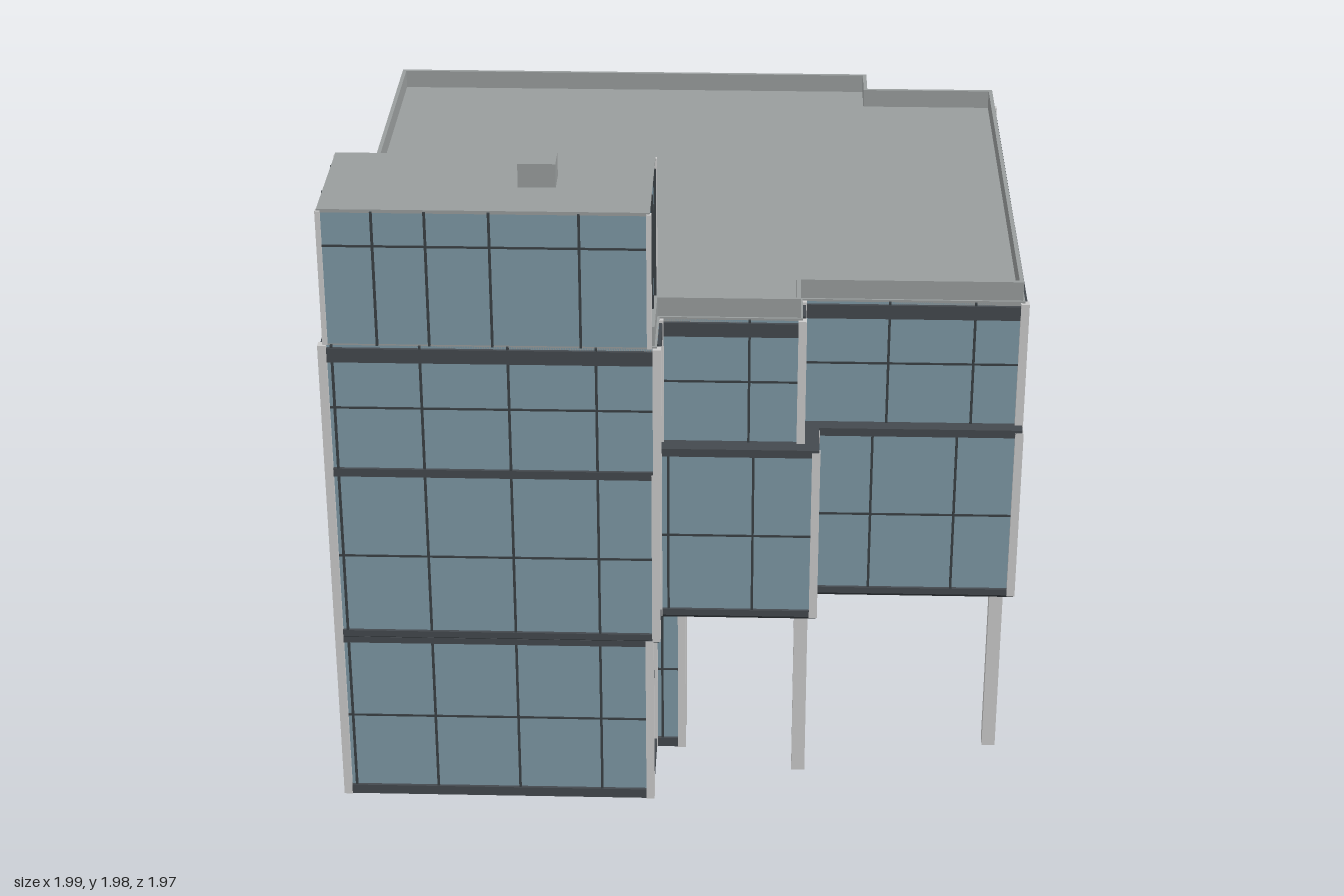
import * as THREE from 'three';

const mat = (color) => new THREE.MeshStandardMaterial({ color });

// Floor outlines as [x, z], starting at the front corner and running along the front
const MID = [[-.985, .97], [-.06, .97], [-.06, .825], [.395, .825], [.395, .685], [.985, .685],
  [.985, -.845], [.575, -.845], [.575, -.975], [-.985, -.975]];
const TOP = [[-.985, .97], [-.055, .97], [-.055, .78], [.35, .78], [.35, .65], [.985, .65],
  [.985, -.845], [.575, -.845], [.575, -.975], [-.985, -.975]];
const GROUND = [[-.985, .97], [-.08, .97], [-.08, .695], [.005, .695], [.005, .575],
  [-.56, .575], [-.56, -.085], [-.985, -.085]];
const PENTHOUSE = [[-.975, .975], [-.075, .975], [-.075, .585], [-.975, .585]];

// Unit direction and outward normal of the edge that starts at corner i
function edge(poly, i) {
  const a = poly[i], b = poly[(i + 1) % poly.length];
  const len = Math.hypot(b[0] - a[0], b[1] - a[1]);
  const d = [(b[0] - a[0]) / len, (b[1] - a[1]) / len];
  return { a, d, len, n: [-d[1], d[0]] };
}

// Moves every wall of a right-angled outline outwards by d
function offset(poly, d) {
  return poly.map((p, i) => {
    const n1 = edge(poly, (i + poly.length - 1) % poly.length).n, n2 = edge(poly, i).n;
    return [p[0] + d * (n1[0] + n2[0]), p[1] + d * (n1[1] + n2[1])];
  });
}

const points = (poly) => poly.map(([x, z]) => new THREE.Vector2(x, -z));

export function createModel() {
  const model = new THREE.Group();
  model.name = 'officeBuilding';
  const glass = mat(0x7d98a5), dark = mat(0x44494e), line = mat(0x3a4044), black = mat(0x25292c);
  const roofGrey = mat(0x999d9d), light = mat(0xcccccc), rust = mat(0x7a3d2a);

  // Prism over an outline, optionally hollow
  function slab(parent, name, poly, y0, y1, material, hole) {
    const shape = new THREE.Shape(points(poly));
    if (hole) shape.holes.push(new THREE.Path(points(hole)));
    const geo = new THREE.ExtrudeGeometry(shape, { depth: y1 - y0, bevelEnabled: false });
    geo.rotateX(-Math.PI / 2).translate(0, y0, 0);
    const mesh = new THREE.Mesh(geo, material);
    mesh.name = name;
    parent.add(mesh);
  }

  function box(parent, name, x, z, y0, y1, w, d, material) {
    const mesh = new THREE.Mesh(new THREE.BoxGeometry(w, y1 - y0, d), material);
    mesh.position.set(x, (y0 + y1) / 2, z);
    mesh.name = name;
    parent.add(mesh);
  }

  // Glazed storey: glass, dark bands, transom, mullions and corner posts
  function storey(name, poly, y0, y1, { bands, transom, starts = {}, spacing = .245, post = .024 }) {
    const g = new THREE.Group();
    g.name = name;
    slab(g, 'glazing', poly, y0 + .002, y1 - .002, glass);
    bands.forEach(([a, b]) => slab(g, 'floorBand', offset(poly, .009), a, b, dark));
    slab(g, 'transom', offset(poly, .003), transom - .003, transom + .003, line);
    poly.forEach((p, i) => {
      box(g, 'cornerPost', p[0], p[1], y0, y1, post, post, light);
      const { a, d, len, n } = edge(poly, i);
      const leftWall = i === poly.length - 1 && post > .02;
      const w = leftWall ? .014 : .007, out = leftWall ? .024 : .014;
      const marks = Array.isArray(starts[i]) ? starts[i] : [];
      if (!marks.length) for (let t = starts[i] ?? .026; t < len - .02; t += spacing) marks.push(t);
      for (const t of marks) {
        box(g, 'mullion', a[0] + d[0] * t, a[1] + d[1] * t, y0, y1,
          n[0] ? out : w, n[0] ? w : out, leftWall ? light : line);
      }
    });
    model.add(g);
    return g;
  }

  // Storeys
  const ground = storey('groundFloor', GROUND, 0, .55, {
    bands: [[0, .03], [.53, .55]], transom: .275,
  });
  box(ground, 'sidePost', -.56, .305, 0, .55, .024, .02, light);
  slab(ground, 'groundBase', offset(GROUND, .004), 0, .006, black);

  storey('middleFloor', MID, .55, 1.1, {
    bands: [[.552, .572], [1.083, 1.108]], transom: .82,
    starts: { 2: .03, 4: .165, 5: .14 },
  });
  slab(model, 'overhangSoffit', offset(MID, .008), .546, .552, black);

  const upper = storey('upperFloor', TOP, 1.1, 1.497, {
    bands: [[1.445, 1.488]], transom: 1.3,
    starts: { 2: .255, 4: .25, 5: .13 },
  });

  // Roof deck and parapet
  slab(upper, 'roofDeck', TOP, 1.488, 1.502, roofGrey);
  slab(upper, 'parapet', offset(TOP, -.006), 1.5, 1.56, roofGrey, offset(TOP, -.018));

  // Penthouse
  const pent = storey('penthouse', PENTHOUSE, 1.5, 1.905, {
    bands: [], transom: 1.8, post: .014,
    starts: { 0: [.145, .29, .465, .71], 1: [.13, .31], 2: [.19, .435, .61, .755], 3: [.08, .26] },
  });
  slab(pent, 'penthouseRoof', offset(PENTHOUSE, .003), 1.9, 1.91, roofGrey);
  box(pent, 'roofVent', -.39, .772, 1.91, 1.98, .105, .085, roofGrey);

  // Pillars carrying the overhang
  for (const [x, z] of [[.36, .8], [.945, .65], [.945, -.8], [.535, -.935], [-.945, -.935]]) {
    box(model, 'pillar', x, z, 0, .55, .04, .036, light);
  }

  // Doors and coloured panel on the side wall
  for (const z of [.19, .765]) box(ground, 'door', -.985, z, .015, .24, .016, .155, black);
  box(upper, 'rustPanel', -.985, .87, 1.11, 1.445, .018, .16, rust);
  return model;
}
